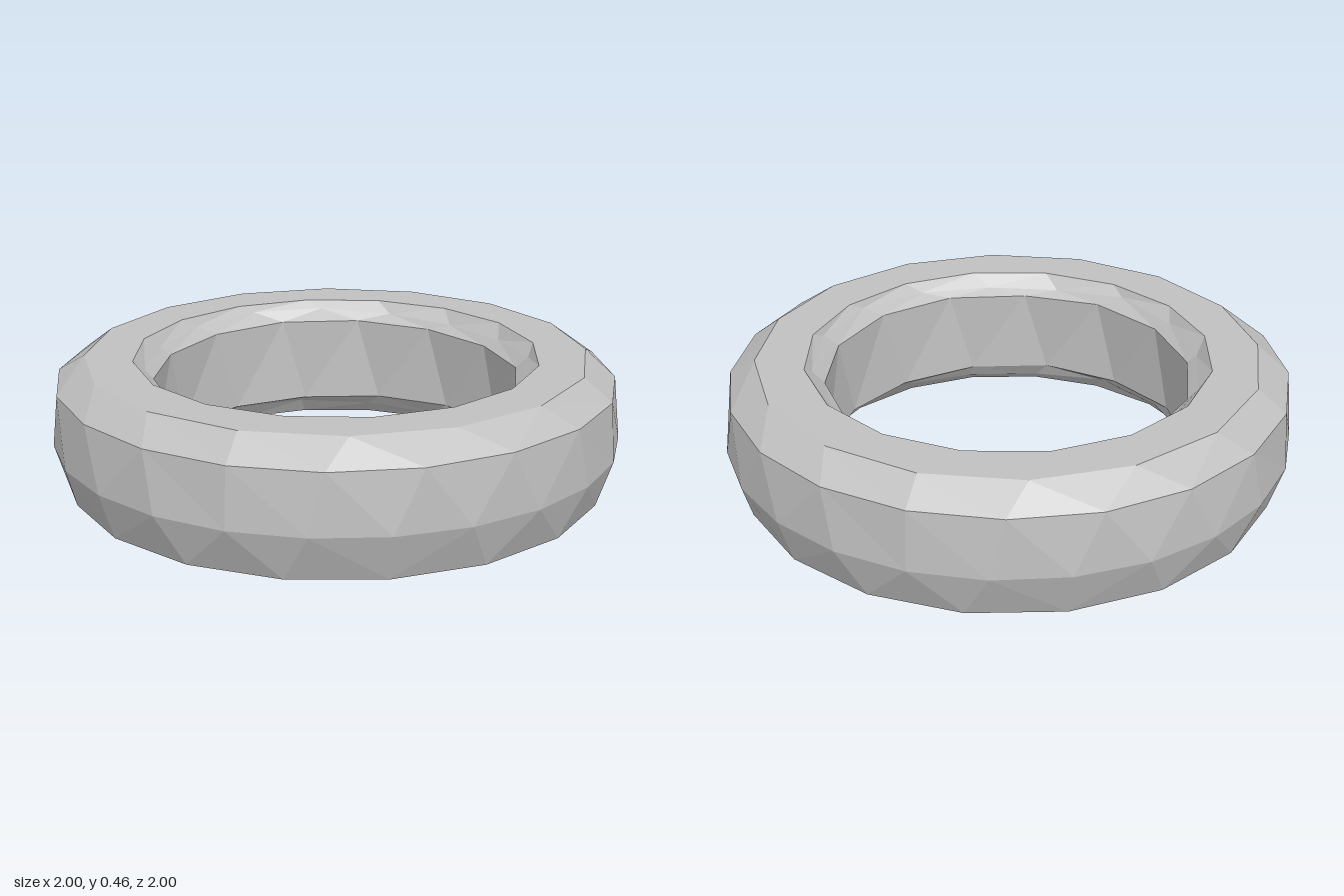
import * as THREE from 'three';

// Cross-section rows: radius, height, corners around, turn (in corner steps), unevenness
const ROWS = [
  [0.945, 0.01, 18, 0.5, 0],     // bottom outer edge
  [1.0, 0.175, 24, 0, 0],        // widest belt
  [0.985, 0.385, 20, 0, 0.003],  // shoulder
  [0.885, 0.463, 16, 0, 0],      // top outer edge
  [0.715, 0.463, 16, 0.3, 0],    // top inner edge
  [0.685, 0.425, 16, 0.1, 0.012],
  [0.65, 0.39, 14, 0.5, 0.006],  // inner wall top
  [0.65, 0.09, 14, 0.2, 0.006],  // inner wall bottom
  [0.69, 0.05, 16, 0.4, 0.01],
  [0.735, 0.0, 18, 0.5, 0],      // bottom inner edge
];

function rowPoint([r, y, n, turn, rough], row, k) {
  const a = ((k + turn) / n) * Math.PI * 2;
  const wobble = rough * Math.sin((k % n) * 7.3 + row * 2.1);
  return [Math.sin(a) * (r + wobble), y + wobble, Math.cos(a) * (r + wobble)];
}

// Joins two neighbouring rows, which may have different corner counts
function stitch(out, ra, rb) {
  const a = ROWS[ra], b = ROWS[rb];
  let i = 0, j = 0;
  while (i < a[2] || j < b[2]) {
    const nextA = (i + 1 + a[3]) / a[2], nextB = (j + 1 + b[3]) / b[2];
    const pa = rowPoint(a, ra, i), pb = rowPoint(b, rb, j);
    if (j >= b[2] || (i < a[2] && nextA <= nextB)) {
      out.push(...pa, ...rowPoint(a, ra, ++i), ...pb);
    } else {
      out.push(...pa, ...rowPoint(b, rb, ++j), ...pb);
    }
  }
}

export function createModel() {
  const group = new THREE.Group();
  group.name = 'ring';
  const grey = new THREE.MeshStandardMaterial({ color: 0xc0c0c0 });
  grey.name = 'grey';
  grey.flatShading = true;

  const positions = [];
  ROWS.forEach((_, k) => stitch(positions, k, (k + 1) % ROWS.length));
  const geometry = new THREE.BufferGeometry();
  geometry.setAttribute('position', new THREE.Float32BufferAttribute(positions, 3));
  geometry.computeVertexNormals();

  const mesh = new THREE.Mesh(geometry, grey);
  mesh.name = 'ringBody';
  group.add(mesh);
  return group;
}
